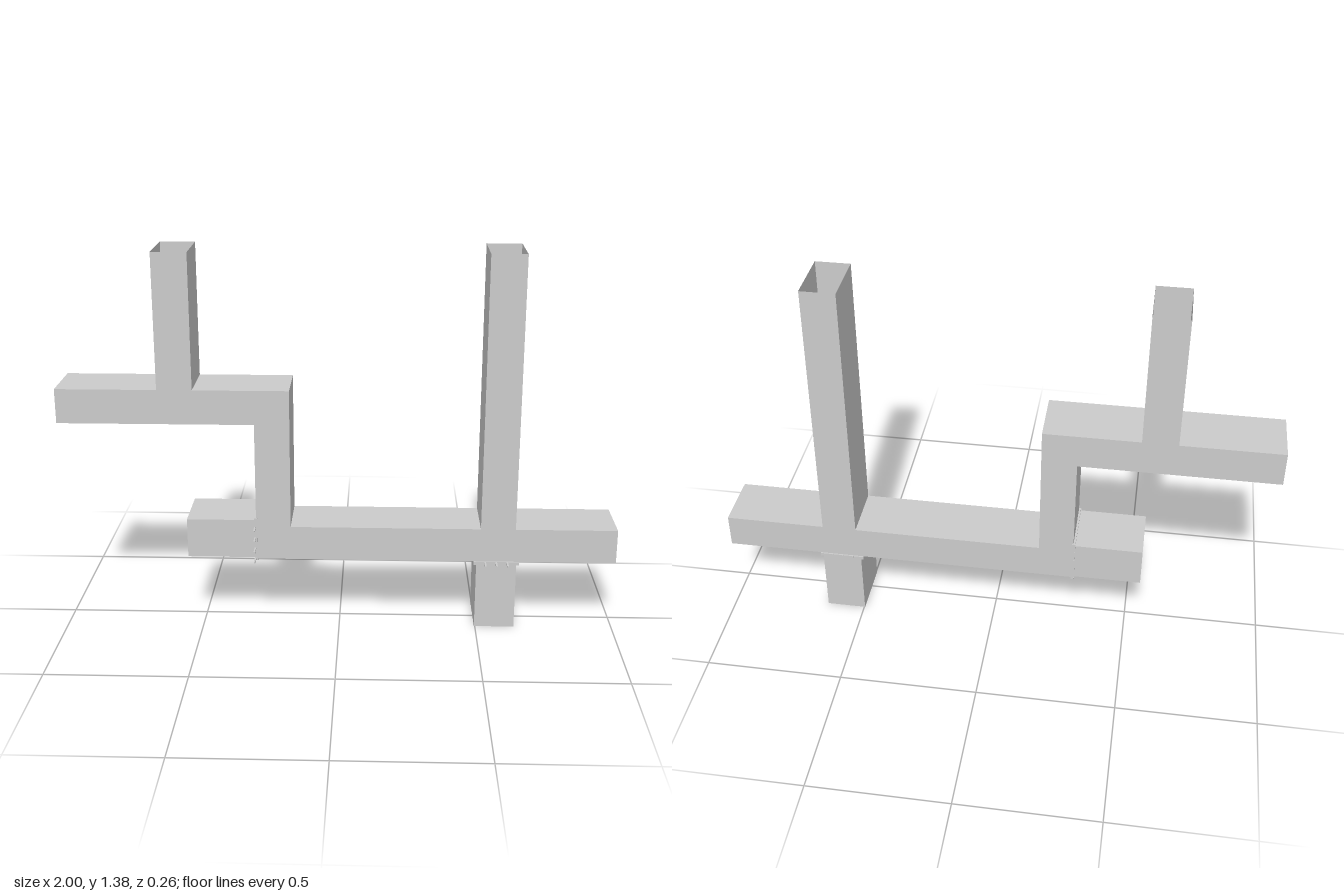
import * as THREE from 'three';

const BACK = -0.122, FRONT = 0.087;
const sheet = new THREE.MeshStandardMaterial({ color: 0xcccccc, side: THREE.DoubleSide, flatShading: true });
const solid = new THREE.MeshStandardMaterial({ color: 0xcccccc });

function add(parent, name, geometry, material) {
  const mesh = new THREE.Mesh(geometry, material);
  mesh.name = name;
  parent.add(mesh);
  return mesh;
}

// Sheet-metal duct: front and back walls follow the outline; each run of
// points is a continuous wall, and the gaps between runs are openings.
function duct(name, runs) {
  const group = new THREE.Group();
  group.name = name;
  const outline = new THREE.Shape(runs.flat().map(([x, y]) => new THREE.Vector2(x, y)));
  add(group, 'frontWall', new THREE.ShapeGeometry(outline).translate(0, 0, FRONT), sheet);
  add(group, 'backWall', new THREE.ShapeGeometry(outline).rotateY(Math.PI).scale(-1, 1, 1).translate(0, 0, BACK), sheet);
  for (const run of runs) {
    for (let i = 0; i + 1 < run.length; i++) {
      const [ax, ay] = run[i], [bx, by] = run[i + 1];
      const wall = new THREE.PlaneGeometry(Math.hypot(bx - ax, by - ay), FRONT - BACK);
      wall.rotateX(Math.PI / 2).rotateZ(Math.atan2(by - ay, bx - ax));
      wall.translate((ax + bx) / 2, (ay + by) / 2, (FRONT + BACK) / 2);
      add(group, 'sideWall', wall, sheet);
    }
  }
  return group;
}

function rectangle(path, u0, u1, v0, v1) {
  path.moveTo(u0, v0);
  path.lineTo(u1, v0);
  path.lineTo(u1, v1);
  path.lineTo(u0, v1);
  path.closePath();
  return path;
}

// Framed grate lying in the x-z plane, with long bars poking out at the front
function grate(name, longBars) {
  const group = new THREE.Group();
  group.name = name;
  const frame = rectangle(new THREE.Shape(), -0.082, 0.082, -0.126, 0.09);
  frame.holes.push(rectangle(new THREE.Path(), -0.061, 0.061, -0.093, 0.042));
  const plate = new THREE.ExtrudeGeometry(frame, { depth: 0.012, bevelEnabled: false });
  add(group, 'grateFrame', plate.rotateX(Math.PI / 2).translate(0, 0.006, 0), solid);
  for (const u of longBars) {
    add(group, 'longBar', new THREE.BoxGeometry(0.006, 0.006, 0.256), solid).position.set(u, 0.003, 0.001);
  }
  for (const z of [-0.07, -0.025, 0.018]) {
    add(group, 'crossBar', new THREE.BoxGeometry(0.13, 0.006, 0.006), solid).position.set(0, 0, z);
  }
  return group;
}

export function createModel() {
  const model = new THREE.Group();
  model.name = 'ductwork';

  // Stepped main duct, open at both ends and at the tops of both shafts
  model.add(duct('mainDuct', [
    [[-1, 0.77], [-0.3, 0.77], [-0.3, 0.39]],
    [[-0.3, 0.26], [0.51, 0.26]],
    [[0.635, 0.26], [1, 0.26]],
    [[1, 0.385], [0.635, 0.385], [0.635, 1.38]],
    [[0.51, 1.38], [0.51, 0.385], [-0.175, 0.385], [-0.175, 0.895], [-0.515, 0.895], [-0.515, 1.38]],
    [[-0.64, 1.38], [-0.64, 0.895], [-1, 0.895]],
  ]));

  // Closed stubs behind the two grates
  model.add(duct('sideStub', [[[-0.302, 0.41], [-0.55, 0.41], [-0.55, 0.265], [-0.302, 0.265]]]));
  model.add(duct('lowerStub', [[[0.497, 0.25], [0.497, 0], [0.642, 0], [0.642, 0.25]]]));

  const lower = grate('lowerGrate', [-0.04, 0, 0.04]);
  lower.position.set(0.569, 0.253, 0);
  const side = grate('sideGrate', [-0.075, -0.035, 0.005, 0.046]);
  side.rotation.z = Math.PI / 2;
  side.position.set(-0.301, 0.336, 0);
  model.add(lower, side);

  return model;
}
